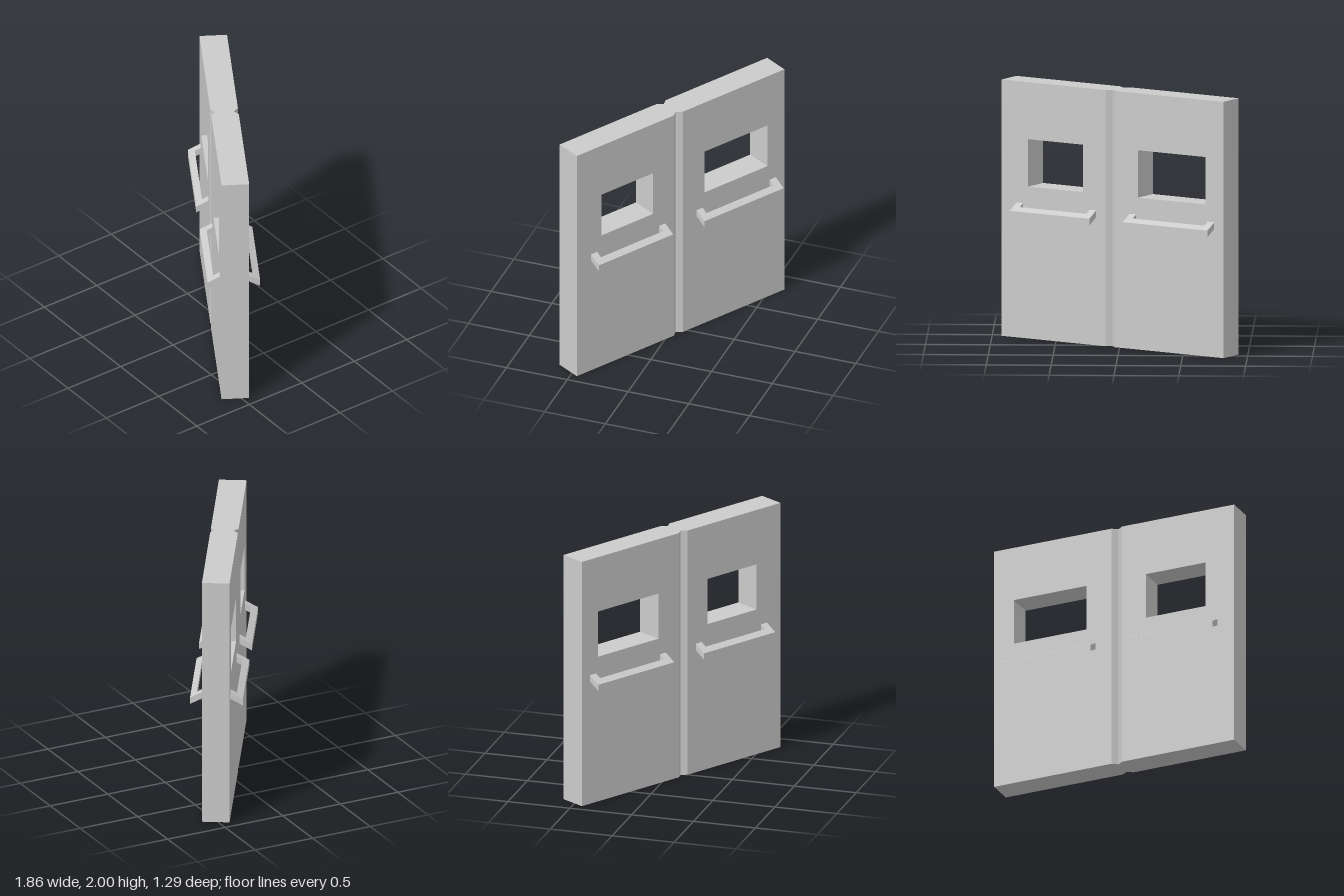
import * as THREE from 'three';

const HEIGHT = 2;
const HALF_T = 0.107;    // half the door thickness
const SEAM = 0.022;      // where the two leaves meet
const CHAMFER_W = 0.044; // chamfer along the leaf
const CHAMFER_D = 0.033; // chamfer into the thickness

const material = new THREE.MeshStandardMaterial({ color: 0xcccccc, flatShading: true });

function polygon(points) {
  return points.map(([x, y]) => new THREE.Vector2(x, y));
}

function rectangle(x0, x1, y0, y1) {
  return polygon([[x0, y0], [x1, y0], [x1, y1], [x0, y1]]);
}

// Slab with a window opening and a chamfered meeting edge
function leafGeometry(outer, windowA, windowB) {
  const shape = new THREE.Shape(rectangle(Math.min(outer, SEAM), Math.max(outer, SEAM), 0, HEIGHT));
  shape.holes.push(new THREE.Path(rectangle(windowA, windowB, 1.185, 1.555)));
  const geometry = new THREE.ExtrudeGeometry(shape, { depth: 3, steps: 3, bevelEnabled: false });
  const layers = [-HALF_T, -HALF_T + CHAMFER_D, HALF_T - CHAMFER_D, HALF_T];
  const pos = geometry.attributes.position;
  for (let i = 0; i < pos.count; i++) {
    const layer = Math.round(pos.getZ(i));
    pos.setZ(i, layers[layer]);
    const onFace = layer === 0 || layer === 3;
    if (onFace && Math.abs(pos.getX(i) - SEAM) < 1e-4) {
      pos.setX(i, SEAM + Math.sign(outer) * CHAMFER_W);
    }
  }
  geometry.computeVertexNormals();
  return geometry;
}

// U-shaped push bar that slopes down away from the door; side is 1 for front, -1 for back
function handleGeometry(u0, u1, side) {
  const reach = 0.204, bar = 0.05, post = 0.06, thick = 0.053;
  const plan = [
    [u0, HALF_T], [u0, reach], [u1, reach], [u1, HALF_T],
    [u1 - post, HALF_T], [u1 - post, reach - bar],
    [u0 + post, reach - bar], [u0 + post, HALF_T],
  ].map(([u, w]) => [u, -side * w]);
  const geometry = new THREE.ExtrudeGeometry(new THREE.Shape(polygon(plan)), { depth: thick, bevelEnabled: false });
  geometry.rotateX(-Math.PI / 2);
  const pos = geometry.attributes.position;
  for (let i = 0; i < pos.count; i++) {
    const out = (Math.abs(pos.getZ(i)) - HALF_T) / (reach - HALF_T);
    pos.setY(i, pos.getY(i) + 1.0 - 0.053 * out);
  }
  geometry.computeVertexNormals();
  return geometry;
}

function addMesh(parent, name, geometry) {
  const mesh = new THREE.Mesh(geometry, material);
  mesh.name = name;
  parent.add(mesh);
}

export function createModel() {
  const model = new THREE.Group();
  model.name = 'doubleDoor';

  const doors = new THREE.Group();
  doors.name = 'doors';
  doors.rotation.y = THREE.MathUtils.degToRad(-31.2);
  doors.position.z = 0.012;
  model.add(doors);

  // Two leaves, each with a window and a push bar on both faces
  const leaves = [
    { name: 'rightDoor', outer: -1.02, opening: [-0.853, -0.233], bar: [-0.935, -0.157] },
    { name: 'leftDoor', outer: 1.02, opening: [0.27, 0.775], bar: [0.15, 0.88] },
  ];
  for (const { name, outer, opening, bar } of leaves) {
    const leaf = new THREE.Group();
    leaf.name = name;
    addMesh(leaf, 'doorLeaf', leafGeometry(outer, ...opening));
    addMesh(leaf, 'frontHandle', handleGeometry(...bar, 1));
    addMesh(leaf, 'backHandle', handleGeometry(...bar, -1));
    doors.add(leaf);
  }
  return model;
}
